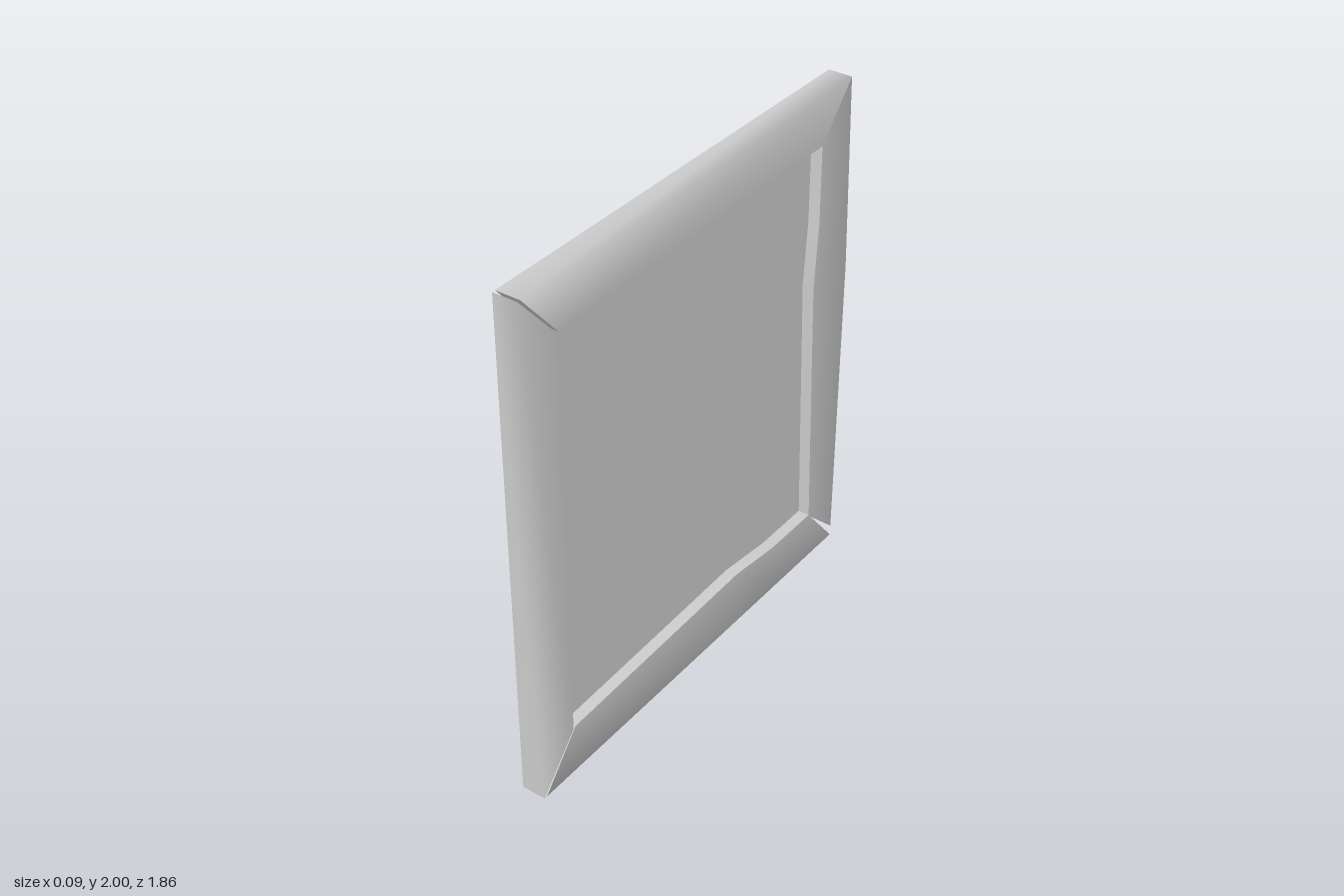
import * as THREE from 'three';

const FRONT = 0.045, BACK = -0.05;
const material = new THREE.MeshStandardMaterial({ color: 0xcccccc, side: THREE.DoubleSide });

// One station along a rail: outer and inner edge, each given as z, y.
function station(oz, oy, iz, iy) {
  return [
    new THREE.Vector3(BACK, oy, oz),
    new THREE.Vector3(FRONT, oy, oz),
    new THREE.Vector3(FRONT, iy, iz),
    new THREE.Vector3(BACK, iy, iz),
  ];
}

// Smooth strip through rows of points.
function strip(rows) {
  const n = rows[0].length, index = [];
  for (let r = 0; r < rows.length - 1; r++) {
    for (let c = 0; c < n - 1; c++) {
      const a = r * n + c, b = a + 1, d = a + n, e = d + 1;
      index.push(a, b, d, b, e, d);
    }
  }
  const geometry = new THREE.BufferGeometry().setFromPoints(rows.flat());
  geometry.setIndex(index);
  geometry.computeVertexNormals();
  return geometry;
}

// Rail: a channel open at the back, closed by mitred ends.
function makeRail(name, stations) {
  const rail = new THREE.Group();
  rail.name = name;
  const add = (part, rows) => {
    const mesh = new THREE.Mesh(strip(rows), material);
    mesh.name = part;
    rail.add(mesh);
  };
  add('moulding', stations.map((s) => s.slice(0, 3)));
  add('innerWall', stations.map((s) => s.slice(2)));
  for (const s of [stations[0], stations[stations.length - 1]]) {
    add('mitreEnd', [[s[0], s[1]], [s[3], s[2]]]);
  }
  return rail;
}

export function createModel() {
  const model = new THREE.Group();
  model.name = 'pictureFrame';

  // Straight rails
  model.add(makeRail('frontRail', [
    station(0.93, 0, 0.76, 0.195),
    station(0.93, 2, 0.76, 1.805),
  ]));
  model.add(makeRail('topRail', [
    station(0.917, 2, 0.75, 1.805),
    station(-0.88, 2, -0.705, 1.805),
  ]));

  // Bottom rail with a bowed inner edge
  model.add(makeRail('bottomRail', [
    station(0.917, 0, 0.75, 0.2),
    station(-0.22, 0, -0.22, 0.228),
    station(-0.46, 0, -0.46, 0.2),
    station(-0.875, 0, -0.71, 0.2),
  ]));

  // Loose rear rail: splayed and twisted at its foot
  const foot = station(-0.93, 0.005, -0.71, 0.2);
  foot[0].x = -0.025;
  foot[1].set(0.04, 0.035, -0.885);
  model.add(makeRail('rearRail', [
    foot,
    station(-0.898, 1.24, -0.682, 1.24),
    station(-0.892, 1.5, -0.705, 1.5),
    station(-0.88, 2, -0.705, 1.805),
  ]));

  // Picture panel recessed between the rails
  const panel = new THREE.Mesh(new THREE.BoxGeometry(0.004, 1.615, 1.475), material);
  panel.name = 'panel';
  panel.position.set(-0.003, 1, 0.025);
  model.add(panel);

  return model;
}
